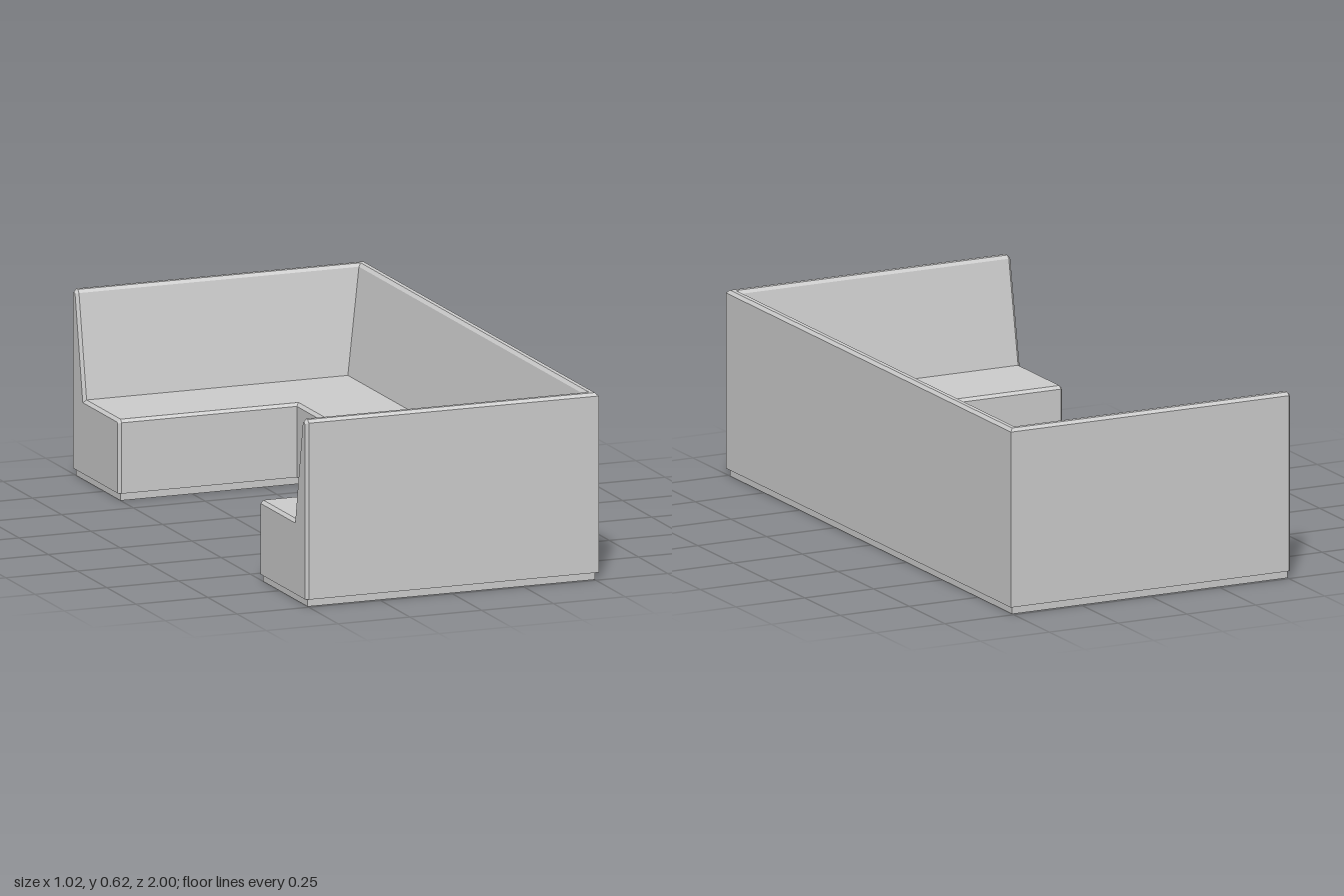
import * as THREE from 'three';

const OUT_X = 0.51, OUT_Z = 1;
const material = new THREE.MeshStandardMaterial({ color: 0xcccccc, flatShading: true });

// Sweep a counter-clockwise profile of [depth from outer edge, height] round
// the U-shaped plan with mitred corners. Each end is a list of [x, profile],
// running from the tip towards the corner.
function sweepU(name, profile, end) {
  const arm = side => end.map(([x, p]) => p.map(([d, y]) => [x, y, side * (OUT_Z - d)]));
  const corner = side => profile.map(([d, y]) => [OUT_X - d, y, side * (OUT_Z - d)]);
  const sections = [...arm(1), corner(1), corner(-1), ...arm(-1).reverse()];
  const n = profile.length;
  const pos = [];
  const tri = (a, b, c) => pos.push(...a, ...b, ...c);

  // sides
  for (let s = 0; s < sections.length - 1; s++) {
    const a = sections[s], b = sections[s + 1];
    for (let i = 0; i < n; i++) {
      const j = (i + 1) % n;
      tri(a[i], a[j], b[j]);
      tri(a[i], b[j], b[i]);
    }
  }
  // end caps
  const outline = end[0][1].map(([d, y]) => new THREE.Vector2(d, y));
  const first = sections[0], last = sections[sections.length - 1];
  for (const [a, b, c] of THREE.ShapeUtils.triangulateShape(outline, [])) {
    tri(first[a], first[c], first[b]);
    tri(last[a], last[b], last[c]);
  }

  const geometry = new THREE.BufferGeometry();
  geometry.setAttribute('position', new THREE.Float32BufferAttribute(pos, 3));
  geometry.computeVertexNormals();
  const mesh = new THREE.Mesh(geometry, material);
  mesh.name = name;
  return mesh;
}

export function createModel() {
  const group = new THREE.Group();
  group.name = 'cornerBench';

  // seat and sloping backrest with chamfered edges
  const body = [
    [0, 0.025], [0.4, 0.025], [0.4, 0.26], [0.39, 0.27], [0.1, 0.27],
    [0.035, 0.61], [0.025, 0.62], [0.01, 0.62], [0, 0.61],
  ];
  // the same outline drawn in slightly, for the chamfer round each end
  const bodyTip = [
    [0.01, 0.025], [0.39, 0.025], [0.39, 0.256], [0.386, 0.26], [0.092, 0.26],
    [0.026, 0.606], [0.021, 0.61], [0.014, 0.61], [0.01, 0.606],
  ];
  group.add(sweepU('seatAndBackrest', body, [[-0.51, bodyTip], [-0.5, body]]));

  // recessed plinth under the bench
  const plinth = [[0.01, 0], [0.39, 0], [0.39, 0.03], [0.01, 0.03]];
  group.add(sweepU('plinth', plinth, [[-0.5, plinth]]));

  return group;
}
